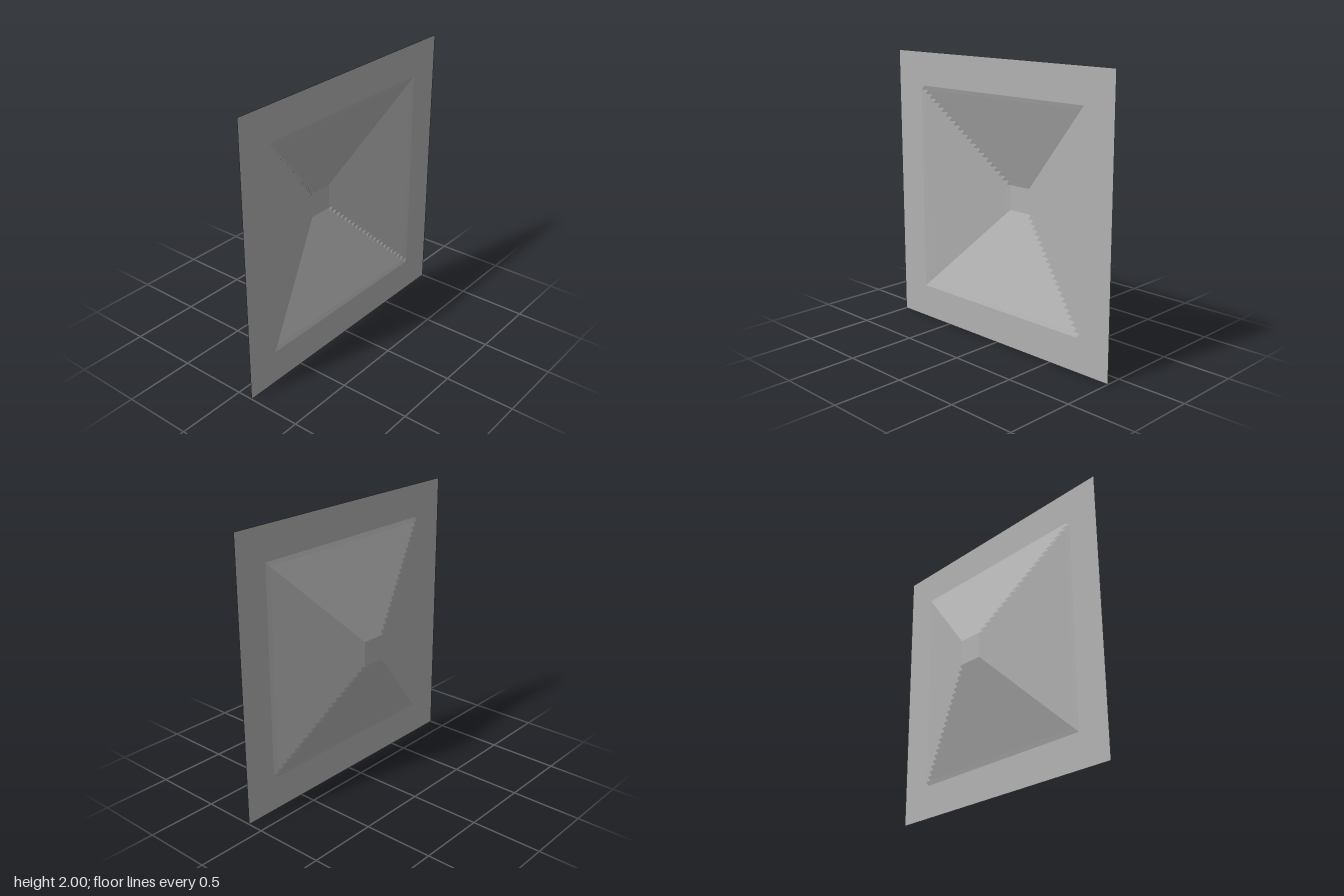
import * as THREE from 'three';

export function createModel() {
  const group = new THREE.Group();
  const grey = new THREE.MeshStandardMaterial({ color: 0xb2b2b2, side: THREE.DoubleSide, flatShading: true });
  grey.name = 'plain grey';

  // Square sheet with a flat rim, four sloping walls and a small flat floor
  const rim = 0.755, floor = 0.091, depth = 0.115;
  const sheet = new THREE.PlaneGeometry(2, 2, 66, 66);
  const p = sheet.attributes.position;
  for (let i = 0; i < p.count; i++) {
    const reach = Math.max(Math.abs(p.getX(i)), Math.abs(p.getY(i)));
    const t = THREE.MathUtils.clamp((reach - floor) / (rim - floor), 0, 1);
    p.setZ(i, -depth + 2 * depth * t);
  }
  const geometry = sheet.toNonIndexed();
  geometry.computeVertexNormals();

  const panel = new THREE.Mesh(geometry, grey);
  panel.name = 'recessedPanel';
  panel.position.y = 1;
  group.add(panel);
  return group;
}
